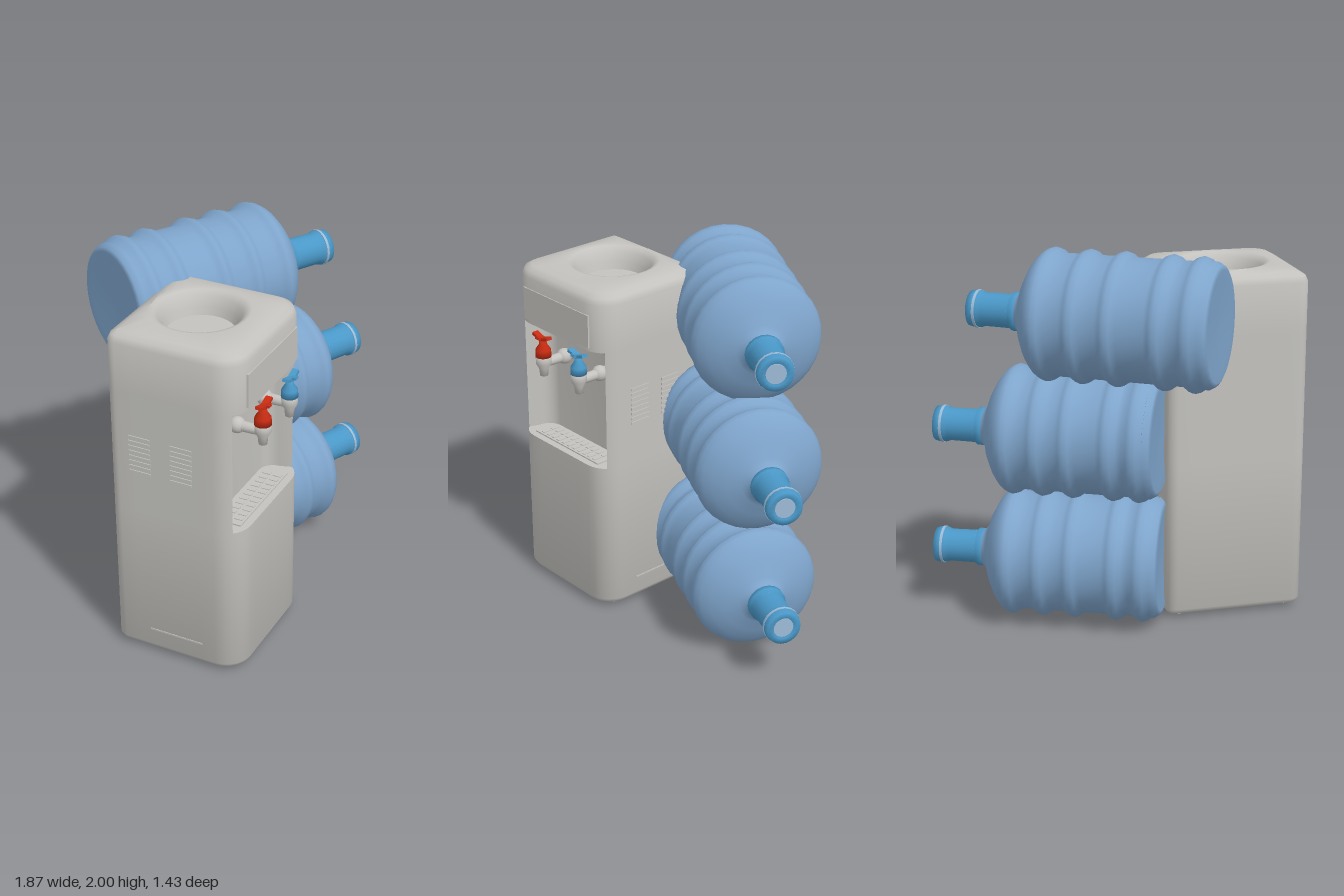
import * as THREE from 'three';
import { toCreasedNormals } from 'three/addons/utils/BufferGeometryUtils.js';

const mat = (name, color, side = THREE.FrontSide) => {
  const m = new THREE.MeshStandardMaterial({ color, side });
  m.name = name;
  return m;
};
const grey = mat('casing grey', 0xc3c2be);
const bottleBlue = mat('bottle blue', 0x7fa5cc, THREE.DoubleSide);
const capBlue = mat('cap blue', 0x4a98c8);
const paleBlue = mat('seal pale blue', 0x9dbbd6);
const red = mat('hot tap red', 0xc92c12);

function add(parent, name, geo, material, x = 0, y = 0, z = 0) {
  const m = new THREE.Mesh(geo, material);
  m.name = name;
  m.position.set(x, y, z);
  parent.add(m);
  return m;
}
const box = (w, h, d) => new THREE.BoxGeometry(w, h, d);
const lathe = (pts, seg = 28) => new THREE.LatheGeometry(pts.map(p => new THREE.Vector2(p[0], p[1])), seg);

const HX = 0.375, HZ = 0.36, FRONT_R = 0.14, BACK_R = 0.06, WELL_Z = -0.03;

// Rounded casing outline in x, z, running front to right to back to left
function outline(inset = 0) {
  const corners = [[1, 1, FRONT_R], [1, -1, BACK_R], [-1, -1, BACK_R], [-1, 1, FRONT_R]];
  const arcs = corners.map(([sx, sz, r], k) => {
    const arc = [];
    for (let i = 0; i <= 7; i++) {
      const a = (k + i / 7) * Math.PI / 2;
      const rad = Math.max(r - inset, 0.005);
      arc.push([sx * (HX - inset - rad) + rad * Math.sin(a), sz * (HZ - inset - rad) + rad * Math.cos(a)]);
    }
    return arc;
  });
  const pts = [];
  arcs.forEach((arc, k) => {
    pts.push(...arc);
    const a = arc[7], b = arcs[(k + 1) % 4][0];
    for (let i = 1; i < 6; i++) pts.push([a[0] + (b[0] - a[0]) * i / 6, a[1] + (b[1] - a[1]) * i / 6]);
  });
  return pts;
}
// Same points pulled onto a circle around the well
const circle = r => outline().map(([x, z]) => {
  const l = Math.hypot(x, z);
  return [x / l * r, z / l * r + WELL_Z];
});

// Skin over a stack of rings [y, points]
function loft(rings) {
  const n = rings[0][1].length, pos = [], idx = [];
  rings.forEach(([y, pts]) => pts.forEach(([x, z]) => pos.push(x, y, z)));
  for (let j = 0; j < rings.length - 1; j++) {
    for (let i = 0; i < n; i++) {
      const a = j * n + i, b = j * n + (i + 1) % n;
      idx.push(a, b, b + n, a, b + n, a + n);
    }
  }
  const g = new THREE.BufferGeometry();
  g.setAttribute('position', new THREE.Float32BufferAttribute(pos, 3));
  g.setIndex(idx);
  return toCreasedNormals(g, 0.7);
}

function makeTap(parent, x, colour) {
  const tap = new THREE.Group();
  tap.name = 'tap';
  tap.position.set(x, 0, 0.365);
  parent.add(tap);
  // Spigot to the back wall, with a collar
  const pipe = new THREE.CylinderGeometry(0.025, 0.03, 0.2, 14).rotateX(Math.PI / 2);
  add(tap, 'spigot', pipe, grey, 0, 1.34, -0.1);
  add(tap, 'spigotCollar', new THREE.SphereGeometry(0.043, 14, 10), grey, 0, 1.34, -0.14);
  add(tap, 'nozzle', lathe([[0, 1.27], [0.022, 1.27], [0.026, 1.31], [0.042, 1.34], [0.042, 1.385], [0, 1.385]], 16), grey);
  add(tap, 'tapCollar', lathe([[0, 1.38], [0.044, 1.38], [0.042, 1.42], [0.022, 1.45], [0.018, 1.48], [0, 1.48]], 16), colour);
  // Two-winged lever on top
  for (const s of [-1, 1]) {
    const wing = add(tap, 'tapLever', box(0.065, 0.016, 0.035), colour, s * 0.03, 1.49, 0.005);
    wing.rotation.z = s * 0.3;
  }
  const lip = add(tap, 'tapLeverLip', box(0.03, 0.014, 0.05), colour, 0, 1.487, 0.015);
  lip.rotation.x = -0.25;
}

function makeCooler() {
  const g = new THREE.Group();
  g.name = 'waterCooler';
  g.position.set(-0.446, 0, 0.266);
  g.rotation.y = THREE.MathUtils.degToRad(31);

  // Lower cabinet
  add(g, 'lowerCabinet', loft([
    [0.015, circle(0)], [0.015, outline(0.04)], [0.025, outline(0.015)], [0.05, outline()],
    [0.86, outline()], [0.86, circle(0)],
  ]), grey);

  // Top housing with the bottle well
  add(g, 'topHousing', loft([
    [1.53, circle(0)], [1.53, outline()], [1.79, outline()], [1.822, outline(0.015)], [1.84, outline(0.05)],
    [1.86, circle(0.25)], [1.855, circle(0.23)], [1.83, circle(0.205)],
    [1.78, circle(0.185)], [1.74, circle(0.172)], [1.74, circle(0)],
  ]), grey);

  // Middle section, open at the front around a recess with rounded back corners
  const mouth = 0.34, back = 0.17, edge = 0.312, r = 0.08;
  const wall = outline().filter(([x, z]) => z < 0 || (Math.abs(x) > mouth && z < edge));
  const first = wall.findIndex(([x, z]) => x > 0 && z > 0);
  const ordered = [...wall.slice(first), ...wall.slice(0, first)];
  const inner = [];
  for (let i = 0; i <= 6; i++) {
    const a = i / 6 * Math.PI / 2;
    inner.push([-mouth + 0.02 + r * (1 - Math.cos(a)), back + r * (1 - Math.sin(a))]);
  }
  const u = [[mouth, edge], ...ordered, [-mouth, edge], ...inner, ...inner.map(([x, z]) => [-x, z]).reverse()];
  const shape = new THREE.Shape(u.map(([x, z]) => new THREE.Vector2(x, -z)));
  const mid = new THREE.ExtrudeGeometry(shape, { depth: 0.67, bevelEnabled: false }).rotateX(-Math.PI / 2);
  add(g, 'recessWalls', toCreasedNormals(mid, 0.6), grey, 0, 0.86, 0);

  // Curved soffit over the taps
  const soffit = new THREE.Shape();
  soffit.moveTo(-back, 1.54);
  soffit.lineTo(-back, 1.42);
  soffit.quadraticCurveTo(-back - 0.02, 1.5, -0.325, 1.528);
  soffit.lineTo(-0.325, 1.54);
  const sg = new THREE.ExtrudeGeometry(soffit, { depth: 0.64, bevelEnabled: false, curveSegments: 8 }).rotateY(Math.PI / 2);
  add(g, 'recessSoffit', toCreasedNormals(sg, 0.6), grey, -0.32, 0, 0);

  // Front panel above the taps
  add(g, 'frontPanel', box(0.54, 0.18, 0.03), grey, 0, 1.64, 0.35);

  // Drip tray with raised bars
  add(g, 'dripTray', box(0.54, 0.008, 0.13), grey, 0, 0.863, 0.255);
  for (let i = 0; i < 11; i++)
    for (const z of [0.225, 0.285]) add(g, 'trayBar', box(0.022, 0.006, 0.045), grey, (i - 5) * 0.044, 0.868, z);

  // Side vents and low seams
  for (const [s, centres] of [[-1, [-0.18, 0.05]], [1, [-0.1, 0.11]]]) {
    for (const z of centres)
      for (let i = 0; i < 8; i++) add(g, 'ventSlat', box(0.01, 0.014, 0.12), grey, s * HX, 1.095 + i * 0.028, z);
    add(g, 'sideSeam', box(0.006, 0.008, 0.3), grey, s * HX, 0.145, 0);
  }

  // Feet
  for (const x of [-0.29, 0.29])
    for (const z of [-0.27, 0.25]) add(g, 'foot', new THREE.CylinderGeometry(0.025, 0.025, 0.02, 12), grey, x, 0.01, z);

  makeTap(g, -0.115, red);
  makeTap(g, 0.185, capBlue);
  return g;
}

// Bottle lying along x, cap end at its origin
function makeBottle(x, y, z, yawDeg, length) {
  const g = new THREE.Group();
  g.name = 'waterBottle';
  g.position.set(x, y, z);
  g.rotation.y = THREE.MathUtils.degToRad(yawDeg);
  const lay = geo => geo.rotateZ(-Math.PI / 2);
  // Base, five ribs spread over the body, shoulder, neck
  const profile = [[0, 0.015 - length], [0.24, 0.01 - length], [0.28, -length], [0.3, 0.01 - length], [0.318, 0.04 - length]];
  const spread = (length - 0.46) / 0.855;
  for (const d of [0.77, 0.615, 0.37, 0.185, 0]) {
    const c = -0.44 - d * spread;
    profile.push([0.312, c - 0.052], [0.332, c - 0.025], [0.34, c], [0.332, c + 0.025], [0.312, c + 0.052]);
  }
  profile.push([0.27, -0.355], [0.205, -0.32], [0.135, -0.295], [0.105, -0.275], [0.09, -0.25], [0.085, -0.2]);
  add(g, 'bottleBody', lay(lathe(profile, 32)), bottleBlue);
  // Flanged cap, seal ring, end seal
  add(g, 'bottleCap', lay(lathe([[0.08, -0.265], [0.1, -0.262], [0.1, -0.235], [0.088, -0.22], [0.086, -0.08],
    [0.094, -0.06], [0.097, -0.03], [0.09, 0], [0.06, 0], [0.054, -0.012], [0, -0.012]], 18)), capBlue);
  add(g, 'capRing', lay(new THREE.CylinderGeometry(0.099, 0.099, 0.014, 18)), paleBlue, -0.042);
  add(g, 'capSeal', lay(new THREE.CylinderGeometry(0.053, 0.053, 0.006, 18)), paleBlue, -0.009);
  return g;
}

export function createModel() {
  const model = new THREE.Group();
  model.name = 'coolerWithBottles';
  model.add(
    makeCooler(),
    makeBottle(0.7, 1.66, -0.377, 0, 1.315),
    makeBottle(0.905, 1.03, -0.39, 4.5, 1.2),
    makeBottle(0.925, 0.352, -0.397, 7.5, 1.23),
  );
  return model;
}
